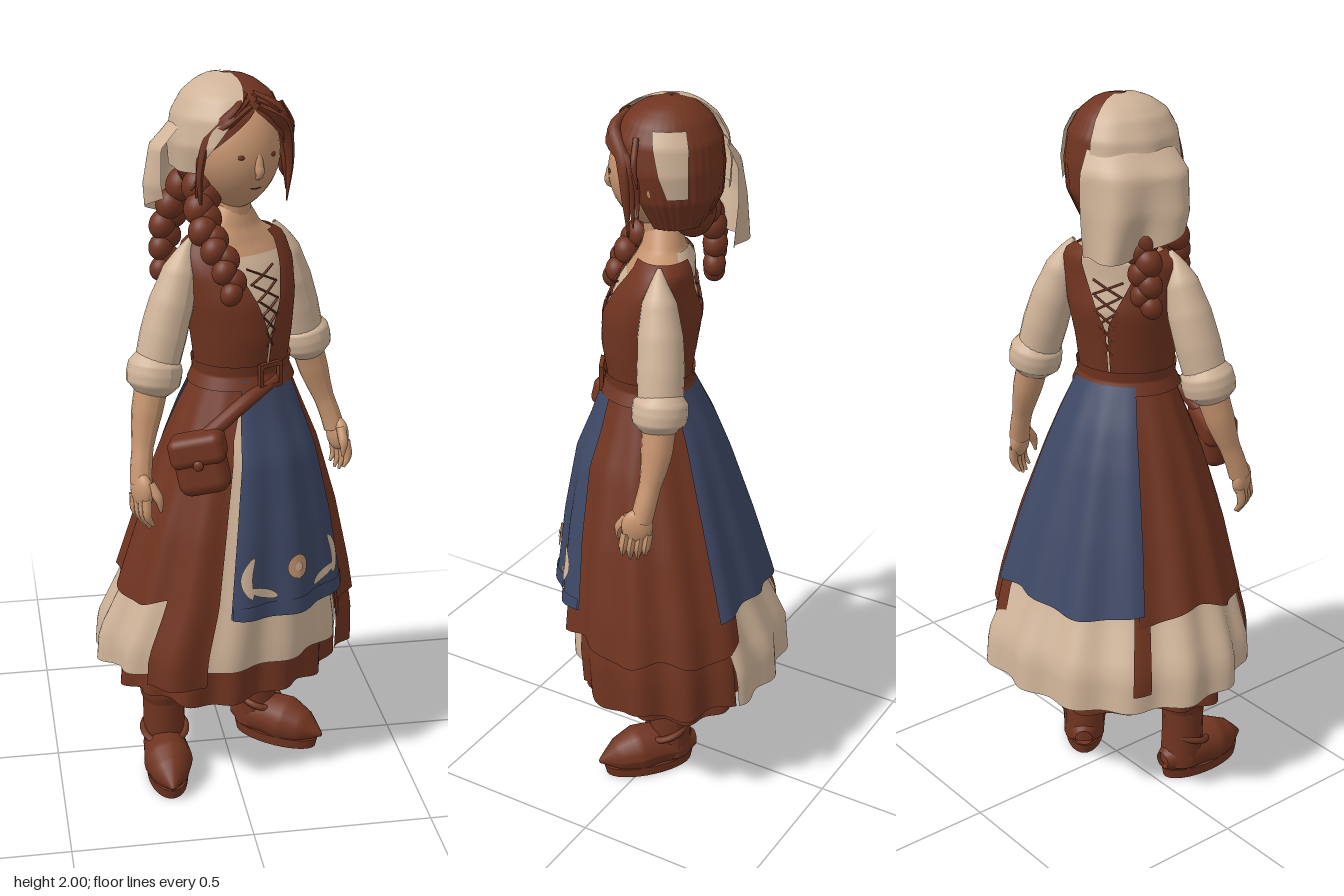
import * as THREE from 'three';
import { RoundedBoxGeometry } from 'three/addons/geometries/RoundedBoxGeometry.js';

const mat = (name, color) => {
  const m = new THREE.MeshStandardMaterial({ color, side: THREE.DoubleSide });
  m.name = name;
  return m;
};

// Cross-section tables, top to bottom: [y, half width, half depth, centre z]
const BODY = [[1.66, 0.045, 0.045, 0.03], [1.6, 0.085, 0.06, 0.03], [1.56, 0.152, 0.08, 0.03], [1.5, 0.16, 0.1, 0.05],
  [1.42, 0.15, 0.125, 0.06], [1.32, 0.132, 0.118, 0.07], [1.22, 0.12, 0.103, 0.07], [1.15, 0.15, 0.13, 0.07]];
const SKIRT = [[1.22, 0.122, 0.103, 0.07], [1.1, 0.175, 0.153, 0.06], [1.0, 0.216, 0.193, 0.06], [0.8, 0.286, 0.243, 0.045],
  [0.6, 0.342, 0.283, 0.027], [0.45, 0.372, 0.303, 0.02], [0.28, 0.38, 0.305, 0.01]];
// The underskirt flares out to the back below the overskirt hem
const UNDER = SKIRT.map(([y, w, d, z]) => (y < 0.6 ? [y, w + 0.025, d + 0.015, z - 0.025] : [y, w, d, z]));
const HEAD = [[2.0, 0.004, 0.004, 0.01], [1.992, 0.045, 0.045, 0.01], [1.98, 0.072, 0.075, 0.015], [1.95, 0.108, 0.115, 0.02],
  [1.9, 0.135, 0.142, 0.02], [1.83, 0.146, 0.15, 0.02], [1.75, 0.135, 0.135, 0.01], [1.66, 0.09, 0.08, 0]];
const TAIL = [[1.88, 0.14, 0.145, 0.02], [1.82, 0.195, 0.172, 0.01], [1.72, 0.2, 0.185, 0.01], [1.58, 0.165, 0.18, 0]];

const { lerp, clamp } = THREE.MathUtils;
const val = (f, x) => (typeof f === 'function' ? f(x) : f);

// Point on a sectioned surface; angle a runs from the front towards the left
function surf(rows, a, y, off = 0, folds = 0, amp = 0) {
  let i = 0;
  while (i < rows.length - 2 && y < rows[i + 1][0]) i++;
  const A = rows[i], B = rows[i + 1], t = clamp((A[0] - y) / (A[0] - B[0]), 0, 1);
  const depth = clamp((rows[0][0] - y) / (rows[0][0] - rows.at(-1)[0]), 0, 1);
  const k = off + amp * depth * (Math.cos(folds * a) + 0.4 * Math.sin(Math.round(folds * 0.43) * a + 1));
  return new THREE.Vector3(Math.sin(a) * (lerp(A[1], B[1], t) + k), y, lerp(A[3], B[3], t) + Math.cos(a) * (lerp(A[2], B[2], t) + k));
}

// Sheet following a sectioned surface between two angles and two heights
function cloth(parent, name, material, rows, a0, a1, top, hem, { off = 0, folds = 0, amp = 0, nu = 48, nv = 20 } = {}) {
  const pos = [], idx = [];
  for (let j = 0; j <= nv; j++) for (let i = 0; i <= nu; i++) {
    const v = j / nv, a = lerp(val(a0, v), val(a1, v), i / nu);
    pos.push(...surf(rows, a, lerp(top, val(hem, a), v), off, folds, amp).toArray());
    if (i < nu && j < nv) {
      const p = j * (nu + 1) + i, q = p + nu + 1;
      idx.push(p, q, p + 1, p + 1, q, q + 1);
    }
  }
  const g = new THREE.BufferGeometry();
  g.setAttribute('position', new THREE.Float32BufferAttribute(pos, 3));
  g.setIndex(idx);
  g.computeVertexNormals();
  return add(parent, name, g, material);
}

function add(parent, name, geometry, material, x = 0, y = 0, z = 0) {
  const m = new THREE.Mesh(geometry, material);
  m.name = name;
  m.position.set(x, y, z);
  parent.add(m);
  return m;
}

function ball(parent, name, material, x, y, z, rx, ry, rz) {
  const m = add(parent, name, new THREE.SphereGeometry(1, 24, 16), material, x, y, z);
  m.scale.set(rx, ry, rz);
  return m;
}

// Tapered tube through points [x, y, z, radius]
function limb(parent, name, material, pts, n = 20, sides = 14, floor = -9) {
  const curve = new THREE.CatmullRomCurve3(pts.map(p => new THREE.Vector3(p[0], p[1], p[2])));
  const g = new THREE.TubeGeometry(curve, n, 1, sides), pos = g.attributes.position, v = new THREE.Vector3();
  for (let i = 0; i <= n; i++) {
    const c = curve.getPointAt(i / n), f = (i / n) * (pts.length - 1), k = Math.min(Math.floor(f), pts.length - 2);
    const r = lerp(pts[k][3], pts[k + 1][3], f - k);
    for (let j = 0; j <= sides; j++) {
      const q = i * (sides + 1) + j;
      v.fromBufferAttribute(pos, q).sub(c).multiplyScalar(r).add(c);
      pos.setXYZ(q, v.x, Math.max(v.y, floor), v.z);
    }
  }
  g.computeVertexNormals();
  return add(parent, name, g, material);
}

// Braid: overlapping lobes alternating along a curve
function braid(parent, name, material, pts, count) {
  const curve = new THREE.CatmullRomCurve3(pts.map(p => new THREE.Vector3(...p)));
  for (let i = 0; i < count; i++) {
    const p = curve.getPointAt(i / (count - 1)), s = i % 2 ? 1 : -1, r = 0.042 - 0.014 * i / count;
    ball(parent, name, material, p.x + s * 0.012, p.y, p.z, r, r * 1.15, r).rotation.z = s * 0.5;
  }
}

export function createModel() {
  const brown = mat('brown', 0x703420), cream = mat('cream', 0xd0b499), skin = mat('skin', 0xc6946f);
  const blue = mat('blue', 0x3e4865), dark = mat('darkBrown', 0x5a2a1a);
  const root = new THREE.Group(), figure = new THREE.Group();
  figure.name = 'figure';
  figure.rotation.y = 0.49;
  root.add(figure);
  const PI = Math.PI;

  // Torso: blouse, neckline and two bodice halves open front and back
  cloth(figure, 'neckline', skin, BODY, 0, 2 * PI, 1.66, 1.52);
  cloth(figure, 'blouse', cream, BODY, 0, 2 * PI, 1.535, 1.22, { off: 0.002 });
  cloth(figure, 'backCollar', cream, BODY, 2.2, 4.08, 1.6, 1.52, { off: 0.004 });
  limb(figure, 'neck', skin, [[0, 1.55, 0.03, 0.052], [0, 1.62, 0.035, 0.046], [0, 1.72, 0.045, 0.048]]);
  for (const s of [-1, 1]) {
    const front = v => Math.max(0.02, 0.6 - 0.9 * v), back = v => PI - Math.max(0.02, 0.6 - 1.1 * v);
    cloth(figure, 'bodice', brown, BODY, v => (s > 0 ? front(v) : -back(v)), v => (s > 0 ? back(v) : -front(v)), 1.585, 1.19, { off: 0.011 });
  }
  for (let i = 0; i < 5; i++) for (const s of [-1, 1]) for (const side of [0, PI]) {
    const y = 1.3 + i * 0.042, w = 0.08 + i * 0.045;
    const pts = [[-s * w, y], [0, y + 0.02], [s * w, y + 0.04]].map(([a, h]) => [...surf(BODY, side + a, h, 0.009).toArray(), 0.003]);
    limb(figure, 'lacing', brown, pts, 6, 6);
  }

  // Belt, buckle and pouch
  cloth(figure, 'belt', brown, BODY, 0, 2 * PI, 1.25, 1.185, { off: 0.018 });
  for (const [w, h, y, x] of [[0.075, 0.012, 1.25, 0], [0.075, 0.012, 1.19, 0], [0.012, 0.07, 1.22, -0.032], [0.012, 0.07, 1.22, 0.032]])
    add(figure, 'buckle', new THREE.BoxGeometry(w, h, 0.012), brown, x, y, 0.2);
  limb(figure, 'pouchStrap', brown, [[0.03, 1.2, 0.185, 0.018], [-0.08, 1.16, 0.195, 0.02], [-0.19, 1.08, 0.17, 0.022]]);
  const pouch = new THREE.Group();
  pouch.name = 'pouch';
  pouch.position.set(-0.215, 1.01, 0.18);
  pouch.rotation.set(-0.15, -0.75, 0.12);
  figure.add(pouch);
  add(pouch, 'pouchBag', new RoundedBoxGeometry(0.14, 0.16, 0.085, 4, 0.035), brown);
  add(pouch, 'pouchFlap', new RoundedBoxGeometry(0.15, 0.085, 0.1, 4, 0.025), brown, 0, 0.045, 0.003);
  ball(pouch, 'pouchButton', brown, 0, 0.01, 0.054, 0.014, 0.014, 0.007);

  // Skirt layers share one fold pattern so they stay nested
  const pleats = (off, nu = 96) => ({ off, nu, nv: 24, folds: 14, amp: 0.013 });
  const skirt = (name, m, a0, a1, hem, off, nu, rows = SKIRT) => cloth(figure, name, m, rows, a0, a1, 1.21, hem, pleats(off, nu));
  skirt('petticoat', brown, 0, 2 * PI, a => 0.29 + 0.01 * Math.cos(5 * a), -0.052, 160);
  skirt('underskirt', cream, -4.1, 0.68, a => 0.375 + 0.035 * Math.cos(a), -0.014, 140, UNDER);
  skirt('leftLowerTier', brown, 0.6, 2.25, a => 0.335 + 0.01 * Math.cos(9 * a), -0.004);
  skirt('rightLowerTier', brown, -1.15, -0.66, 0.365, 0.002, 40, UNDER);
  skirt('backStrip', brown, 3.6, 3.74, 0.4, -0.004, 16, UNDER);
  skirt('leftOverskirt', brown, 0.45, 2.35, a => 0.5 + 0.012 * Math.cos(8 * a), 0.008);
  skirt('rightOverskirt', brown, -2.65, v => -0.5 - 0.32 * Math.min(1, 2 * v), a => 0.6 + 0.02 * Math.cos(6 * a), 0.002);
  skirt('frontApron', blue, -0.56, 0.64, a => 0.57 + 0.03 * a * a, 0.018, 60);
  skirt('backApron', blue, 2.15, 3.68, a => 0.61 + 0.012 * Math.cos(5 * a), 0.018, 80);
  cloth(figure, 'apronHemBand', blue, SKIRT, -0.55, 0.63, 0.615, a => 0.57 + 0.03 * a * a, pleats(0.022, 60));

  // Apron embroidery: a flower between mirrored curling leaves
  const motif = (m, a0, a1, top, hem, off = 0.024) => cloth(figure, 'embroidery', m, SKIRT, a0, a1, top, hem, { ...pleats(off, 8), nv: 12 });
  const bulge = (w, v) => w * Math.sqrt(Math.sin(PI * v) + 1e-4);
  motif(skin, v => -bulge(0.095, v), v => bulge(0.095, v), 0.74, 0.67);
  motif(cream, v => -bulge(0.035, v), v => bulge(0.035, v), 0.718, 0.692, 0.027);
  for (const s of [-1, 1]) {
    const mid = v => s * (0.4 + 0.06 * Math.sin(PI * v)), low = v => s * (0.4 - 0.2 * v);
    motif(cream, v => mid(v) - bulge(0.05, v), v => mid(v) + bulge(0.05, v), 0.755, 0.635);
    motif(cream, v => low(v) - bulge(0.08, v), v => low(v) + bulge(0.08, v), 0.668, 0.625);
  }

  // Arms: puffed sleeve, rolled cuff, forearm and hand
  for (const s of [-1, 1]) {
    const arm = new THREE.Group();
    arm.name = s > 0 ? 'leftArm' : 'rightArm';
    figure.add(arm);
    const part = (name, m, pts, n, sides) => limb(arm, name, m, pts.map(([x, y, z, r]) => [s * x, y, z, r]), n, sides);
    part('sleeve', cream, [[0.14, 1.585, 0.035, 0.005], [0.16, 1.545, 0.035, 0.046], [0.186, 1.46, 0.032, 0.06], [0.218, 1.36, 0.028, 0.063],
      [0.25, 1.25, 0.028, 0.06]], 28, 20);
    part('cuff', cream, [[0.246, 1.285, 0.026, 0.05], [0.25, 1.27, 0.026, 0.072], [0.257, 1.235, 0.028, 0.075], [0.264, 1.2, 0.03, 0.072],
      [0.268, 1.18, 0.03, 0.045]], 20, 20);
    part('forearm', skin, [[0.262, 1.22, 0.028, 0.046], [0.298, 1.1, 0.04, 0.042], [0.33, 0.99, 0.065, 0.029], [0.338, 0.95, 0.075, 0.03]]);
    ball(arm, 'palm', skin, s * 0.342, 0.935, 0.085, 0.024, 0.05, 0.042);
    for (let i = 0; i < 4; i++) {
      const z = 0.055 + i * 0.02, tip = 0.825 + Math.abs(i - 1.5) * 0.012;
      part('finger', skin, [[0.348, 0.92, z, 0.013], [0.35, 0.87, z + 0.008, 0.013], [0.333, tip, z + 0.01, 0.004]], 8, 8);
    }
    part('thumb', skin, [[0.333, 0.96, 0.11, 0.014], [0.323, 0.92, 0.135, 0.014], [0.318, 0.885, 0.138, 0.004]], 8, 8);
  }

  // Boots
  for (const [name, x, z, yaw] of [['rightBoot', -0.215, -0.01, -0.5], ['leftBoot', 0.11, 0.01, 0.4]]) {
    const boot = new THREE.Group();
    boot.name = name;
    boot.position.set(x, 0, z);
    boot.rotation.y = yaw;
    figure.add(boot);
    limb(boot, 'foot', brown, [[0, 0.06, -0.075, 0.025], [0, 0.062, -0.03, 0.06], [0, 0.068, 0.06, 0.063], [0, 0.058, 0.15, 0.07],
      [0, 0.05, 0.2, 0.05], [0, 0.045, 0.222, 0.005]], 30, 18, 0.008);
    const sole = add(boot, 'sole', new THREE.CylinderGeometry(1, 0.95, 0.03, 32), brown, 0, 0.015, 0.068);
    sole.scale.set(0.06, 1, 0.138);
    limb(boot, 'shaft', brown, [[0, 0.04, -0.005, 0.06], [0, 0.15, 0, 0.06], [0, 0.28, 0, 0.062], [0, 0.42, 0.01, 0.06], [0, 0.6, 0.02, 0.06]]);
    limb(boot, 'foldedCuff', brown, [[0, 0.22, 0, 0.06], [0, 0.23, 0, 0.068], [0, 0.26, 0, 0.07], [0, 0.29, 0, 0.062]], 10, 18);
    const strap = add(boot, 'strap', new THREE.TorusGeometry(0.062, 0.01, 8, 24), brown, 0, 0.125, 0.012);
    strap.rotation.x = PI / 2 + 0.35;
  }

  // Head and face
  const head = new THREE.Group();
  head.name = 'head';
  head.rotation.y = -0.12;
  figure.add(head);
  const faceGeo = new THREE.SphereGeometry(1, 32, 24), fp = faceGeo.attributes.position;
  for (let i = 0; i < fp.count; i++) {
    const y = fp.getY(i), taper = y < 0 ? 1 - 0.28 * y * y : 1;
    fp.setXYZ(i, fp.getX(i) * 0.118 * taper, y * 0.15, fp.getZ(i) * 0.125 * (y < 0 ? 1 - 0.1 * y * y : 1));
  }
  faceGeo.computeVertexNormals();
  add(head, 'face', faceGeo, skin, 0, 1.8, 0.05);
  limb(head, 'nose', skin, [[0, 1.82, 0.165, 0.006], [0, 1.78, 0.172, 0.012], [0, 1.76, 0.176, 0.013], [0, 1.75, 0.164, 0.006]], 12, 12);
  for (const s of [-1, 1]) {
    ball(head, 'ear', skin, s * 0.12, 1.79, 0.04, 0.016, 0.034, 0.024);
    ball(head, 'eye', brown, s * 0.048, 1.807, 0.1635, 0.009, 0.006, 0.003).rotation.y = s * 0.4;
  }
  limb(head, 'mouth', dark, [[-0.016, 1.722, 0.154, 0.001], [0, 1.72, 0.157, 0.0018], [0.016, 1.722, 0.154, 0.001]], 8, 6);

  // Hair framing the face, loose locks and braids
  const open = v => clamp(2.8 * (v - 0.24), 0, 1.1);
  cloth(head, 'hair', brown, HEAD, open, v => 2 * PI - open(v), 2.0, 1.67, { folds: 40, amp: 0.002, nu: 120, nv: 36 });
  ball(head, 'napeHair', brown, -0.02, 1.69, -0.045, 0.085, 0.07, 0.06);
  for (const s of [-1, 1]) for (let i = 0; i < 3; i++) {
    const k = i * 0.014, r = s > 0 ? 1 : 0.7;
    limb(head, 'lock', brown, [[s * 0.01, 1.96 - k, 0.12 + k, 0.008 * r], [s * (0.06 + k / 2), 1.925 - k, 0.148, 0.02 * r],
      [s * (0.113 + k / 3), 1.86 - k, 0.115 - k, 0.018 * r], [s * (0.135 - k / 3), 1.77 - k, 0.105 - k, 0.01], [s * (0.13 + k / 2), 1.66 + 2 * k, 0.1 - k, 0.002]], 20, 8);
  }
  limb(head, 'strayLock', brown, [[0.12, 1.92, 0.08, 0.008], [0.155, 1.86, 0.08, 0.009], [0.16, 1.8, 0.07, 0.002]], 12, 8);
  braid(figure, 'frontBraid', brown, [[-0.1, 1.72, 0.03], [-0.125, 1.62, 0.08], [-0.11, 1.54, 0.14], [-0.1, 1.46, 0.175]], 11);
  braid(figure, 'backBraid', brown, [[-0.08, 1.7, -0.07], [-0.12, 1.6, -0.1], [-0.13, 1.47, -0.1]], 9);

  // Headscarf over the right half, its hanging tail and the left band
  cloth(head, 'headscarf', cream, HEAD, -3.12, v => -0.04 - 1.05 * v, 2.0, 1.76, { off: 0.016, folds: 9, amp: 0.005, nu: 48, nv: 30 });
  cloth(head, 'scarfTail', cream, TAIL, -3.2, -1.5, 1.88, a => 1.6 + 0.1 * clamp(a + 2.4, 0, 1), { off: 0.01, folds: 7, amp: 0.028, nu: 48 });
  cloth(head, 'scarfBand', cream, HEAD, v => 1.42 + 0.25 * v, v => 2.1 - 0.05 * v, 1.94, 1.77, { off: 0.009, nu: 16 });
  return root;
}
